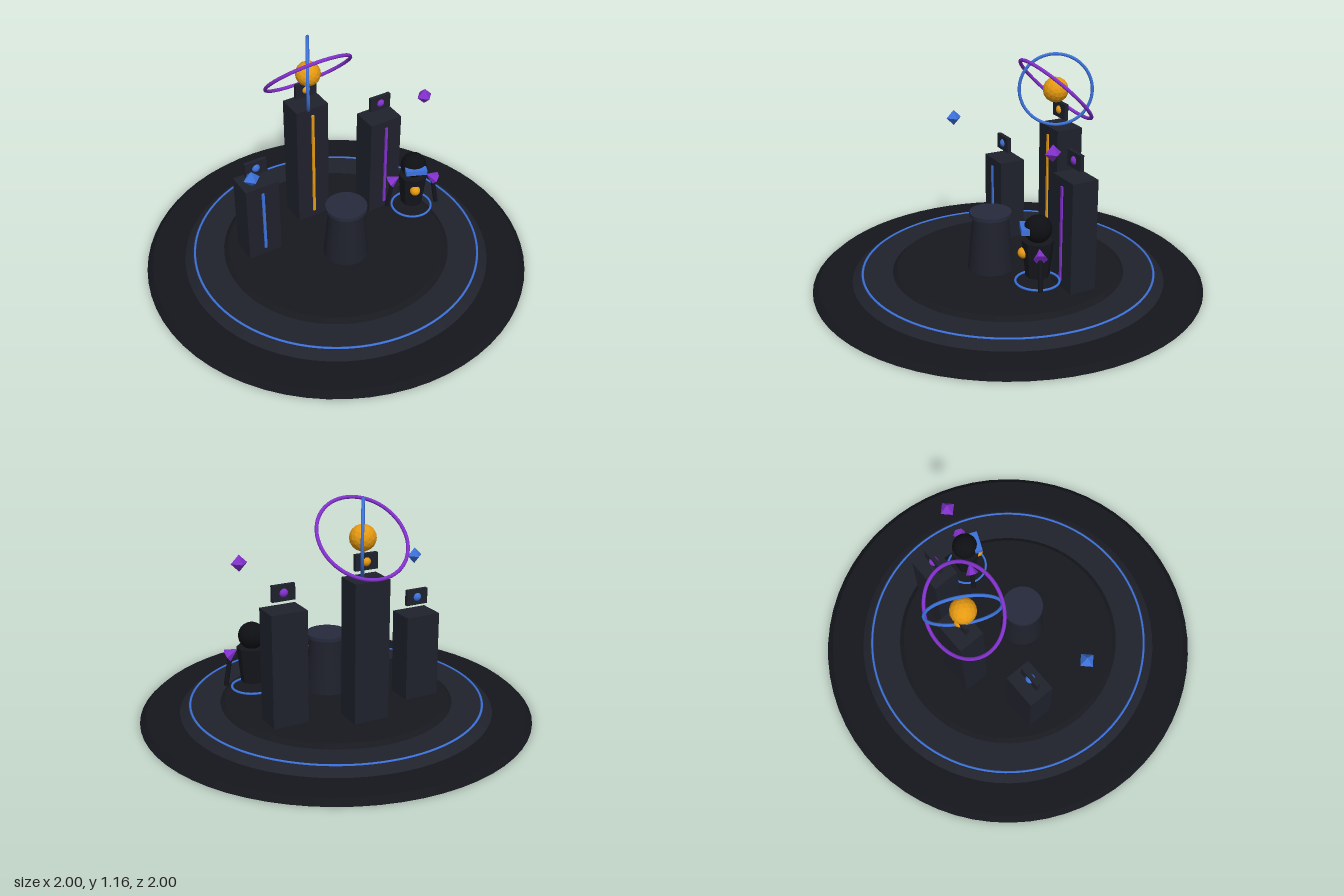
import * as THREE from 'three';

const mat = (color, flatShading = false) => new THREE.MeshStandardMaterial({ color, flatShading });
const DARK = 0x14161c, MID = 0x20222c, STONE = 0x1f212c, CAP = 0x262a3c;
const BLUE = 0x3c72dc, PURPLE = 0x8230cc, GOLD = 0xe69a12;

function add(parent, name, geometry, color, x = 0, y = 0, z = 0, flat = false) {
  const mesh = new THREE.Mesh(geometry, mat(color, flat));
  mesh.name = name;
  mesh.position.set(x, y, z);
  parent.add(mesh);
  return mesh;
}

function group(parent, name, x = 0, y = 0, z = 0) {
  const g = new THREE.Group();
  g.name = name;
  g.position.set(x, y, z);
  parent.add(g);
  return g;
}

// Tower with a glowing strip on its front and a floating panel above
function addTower(parent, name, x, z, top, color) {
  const floor = 0.07, g = group(parent, name, x, 0, z);
  add(g, 'towerBlock', new THREE.BoxGeometry(0.185, top - floor, 0.14), STONE, 0, (top + floor) / 2, 0);
  const low = 0.12, high = top - 0.04;
  add(g, 'lightStrip', new THREE.BoxGeometry(0.014, high - low, 0.012), color, 0, (low + high) / 2, 0.072);
  add(g, 'panel', new THREE.BoxGeometry(0.118, 0.08, 0.02), STONE, 0, top + 0.081, 0.002);
  add(g, 'panelGem', new THREE.SphereGeometry(0.024, 16, 12), color, 0, top + 0.081, 0.002);
}

// Small hovering figure, turned toward the pedestal
function addFigure(parent) {
  const g = group(parent, 'hoveringFigure', 0.432, 0, 0.068);
  g.rotation.y = -0.4;
  add(g, 'torso', new THREE.CylinderGeometry(0.077, 0.058, 0.18, 8), DARK, 0, 0.305, 0, true);
  add(g, 'head', new THREE.SphereGeometry(0.067, 24, 16), 0x0e0f13, 0, 0.452, 0);
  add(g, 'visor', new THREE.BoxGeometry(0.11, 0.028, 0.04), BLUE, 0, 0.456, 0.062);
  add(g, 'chestCore', new THREE.SphereGeometry(0.027, 16, 12), GOLD, 0, 0.332, 0.068);
  for (const s of [-1, 1]) {
    const pad = add(g, 'shoulderPad', new THREE.ConeGeometry(0.034, 0.06, 6), PURPLE, s * 0.097, 0.366, 0, true);
    pad.rotation.z = s * 1.0;
    const arm = add(g, 'arm', new THREE.CylinderGeometry(0.012, 0.012, 0.16, 8), DARK, s * 0.121, 0.27, 0);
    arm.rotation.z = s * 0.16;
  }
  const ring = add(g, 'hoverRing', new THREE.TorusGeometry(0.105, 0.006, 8, 48), BLUE, 0, 0.185, 0);
  ring.rotation.x = Math.PI / 2;
}

export function createModel() {
  const model = new THREE.Group();
  model.name = 'plaza';

  // Stepped round platform: top radius, bottom radius, y0, y1, color
  const platform = group(model, 'platform');
  const tiers = [
    [0.97, 1, 0, 0.027, DARK],
    [0.76, 0.8, 0.027, 0.06, MID],
    [0.57, 0.6, 0.055, 0.08, 0x17191f],
  ];
  tiers.forEach(([rt, rb, y0, y1, color], i) =>
    add(platform, `tier${i + 1}`, new THREE.CylinderGeometry(rt, rb, y1 - y0, 64), color, 0, (y0 + y1) / 2, 0));
  const lightRing = add(platform, 'lightRing', new THREE.TorusGeometry(0.747, 0.006, 8, 96), BLUE, 0, 0.061, 0);
  lightRing.rotation.x = Math.PI / 2;

  // Pedestal with a flat cap
  const pedestal = group(model, 'pedestal', 0, 0, 0.1);
  add(pedestal, 'pedestalBody', new THREE.CylinderGeometry(0.09, 0.118, 0.3, 24), STONE, 0, 0.22, 0);
  add(pedestal, 'pedestalCap', new THREE.CylinderGeometry(0.107, 0.107, 0.02, 24), CAP, 0, 0.376, 0);

  addTower(model, 'rightTower', -0.367, -0.17, 0.518, BLUE);
  addTower(model, 'centreTower', 0, -0.3, 0.784, GOLD);
  addTower(model, 'leftTower', 0.367, -0.17, 0.65, PURPLE);

  // Orb with two tilted orbit rings
  const orb = group(model, 'orb', 0, 0.972, -0.268);
  add(orb, 'orbCore', new THREE.IcosahedronGeometry(0.065, 2), GOLD, 0, 0, 0, true);
  const inner = add(orb, 'innerRing', new THREE.TorusGeometry(0.182, 0.008, 10, 64), BLUE);
  inner.rotation.y = Math.PI / 3;
  const outer = add(orb, 'outerRing', new THREE.TorusGeometry(0.227, 0.009, 10, 64), PURPLE);
  outer.rotation.x = Math.PI / 4;

  // Floating crystals
  add(model, 'blueCrystal', new THREE.OctahedronGeometry(0.042), BLUE, -0.5, 0.738, 0.067, true);
  add(model, 'purpleCrystal', new THREE.OctahedronGeometry(0.042), PURPLE, 0.5, 0.838, 0.034, true);

  addFigure(model);
  return model;
}
